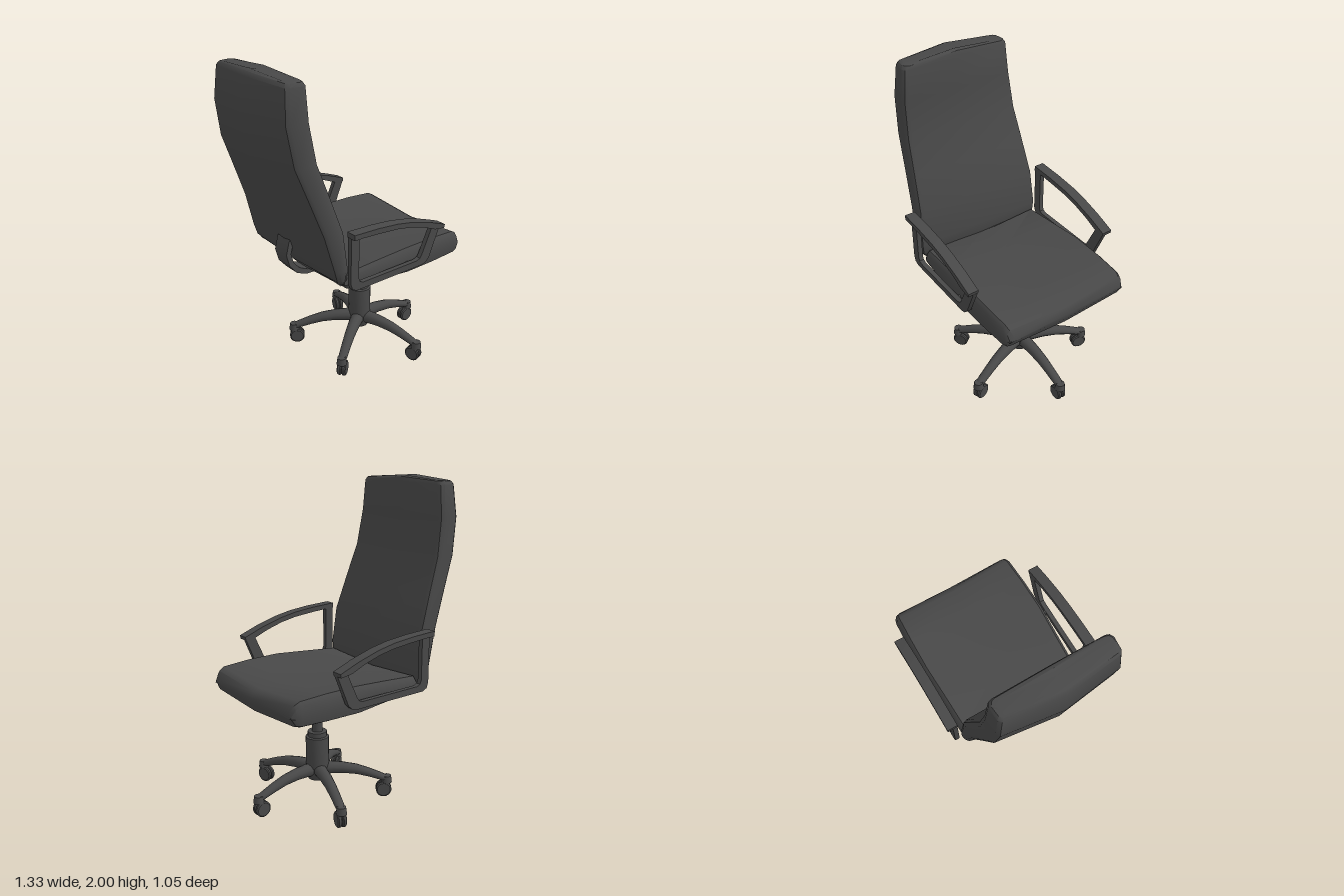
import * as THREE from 'three';
import { toCreasedNormals } from 'three/addons/utils/BufferGeometryUtils.js';

const material = new THREE.MeshStandardMaterial({ color: 0x484848, side: THREE.DoubleSide });

function add(parent, name, geometry, x = 0, y = 0, z = 0) {
  const mesh = new THREE.Mesh(geometry, material);
  mesh.name = name;
  mesh.position.set(x, y, z);
  parent.add(mesh);
  return mesh;
}

// Skin over a row of equal-length loops, closed at both ends
function loft(loops, crease = 0.7) {
  const n = loops[0].length;
  const points = loops.flat();
  const index = [];
  for (let i = 0; i < loops.length - 1; i++) {
    for (let j = 0; j < n; j++) {
      const a = i * n + j, b = i * n + (j + 1) % n;
      index.push(a, b, b + n, a, b + n, a + n);
    }
  }
  for (const end of [0, loops.length - 1]) {
    const centre = points.length;
    points.push([0, 1, 2].map(k => loops[end].reduce((s, p) => s + p[k], 0) / n));
    for (let j = 0; j < n; j++) {
      const a = end * n + j, b = end * n + (j + 1) % n;
      if (end) index.push(centre, a, b);
      else index.push(centre, b, a);
    }
  }
  const g = new THREE.BufferGeometry();
  g.setAttribute('position', new THREE.Float32BufferAttribute(points.flat(), 3));
  g.setIndex(index);
  return toCreasedNormals(g, crease);
}

// Flat outline in x-y, given a thickness centred on z = 0
function slab(points, depth) {
  const shape = new THREE.Shape(points.map(p => new THREE.Vector2(...p)));
  const g = new THREE.ExtrudeGeometry(shape, { depth, bevelEnabled: false });
  g.translate(0, 0, -depth / 2);
  return toCreasedNormals(g, 0.6);
}

// Dished cushion: x, top at the sides, top at the middle, bottom, half width
function seatGeometry() {
  const rows = [
    [-0.275, 0.80, 0.79, 0.72, 0.415], [-0.25, 0.825, 0.80, 0.70, 0.43],
    [0, 0.845, 0.815, 0.685, 0.44], [0.2, 0.86, 0.82, 0.67, 0.45],
    [0.42, 0.86, 0.82, 0.672, 0.447], [0.60, 0.85, 0.818, 0.677, 0.44],
    [0.635, 0.83, 0.80, 0.685, 0.433], [0.66, 0.78, 0.765, 0.735, 0.415],
  ];
  return loft(rows.map(([x, side, mid, low, w]) => {
    const half = [[side, w - 0.03], [side - 0.02, w - 0.012],
      [(side + low) / 2, w], [low + 0.035, w - 0.01], [low + 0.025, w - 0.03]];
    return [[x, mid, 0], ...half.map(([y, z]) => [x, y, z]),
      [x, low, 0], ...half.reverse().map(([y, z]) => [x, y, -z])];
  }));
}

// Tall padded back: y, front x, rear x on the centre line, half width, drop at the sides
function backGeometry() {
  const rows = [
    [0.765, -0.275, -0.31, 0.415, 0], [0.80, -0.265, -0.355, 0.44, 0],
    [0.87, -0.262, -0.385, 0.445, 0], [1.10, -0.285, -0.46, 0.43, 0],
    [1.32, -0.36, -0.545, 0.412, 0], [1.53, -0.435, -0.628, 0.395, 0],
    [1.76, -0.472, -0.665, 0.38, 0], [1.965, -0.475, -0.645, 0.36, 0.01],
    [1.99, -0.485, -0.628, 0.347, 0.015], [2.0, -0.505, -0.605, 0.325, 0.02],
  ];
  return loft(rows.map(([y, front, rear, w, drop]) => {
    const edge = rear + 0.25 * (front - rear);
    const s = y - drop;
    const half = [[edge, w - 0.022], [edge + 0.02, w - 0.006],
      [front - 0.03, w], [front - 0.008, w - 0.012], [front, w - 0.035]];
    return [...half.map(([x, z]) => [x, s, z]), [front, y, 0],
      ...half.reverse().map(([x, z]) => [x, s, -z]), [rear, y, 0]];
  }));
}

// Arched leg running out along +x
function legGeometry() {
  const rows = [
    [0, 0.243, 0.15, 0.045], [0.08, 0.242, 0.16, 0.042], [0.16, 0.235, 0.162, 0.038],
    [0.25, 0.218, 0.152, 0.034], [0.33, 0.19, 0.132, 0.031],
    [0.40, 0.16, 0.11, 0.029], [0.45, 0.135, 0.098, 0.027],
  ];
  return loft(rows.map(([x, top, low, w]) => Array.from({ length: 10 }, (_, i) => {
    const a = i / 10 * Math.PI * 2;
    return [x, (top + low) / 2 + Math.cos(a) * (top - low) / 2, Math.sin(a) * w];
  })), 1);
}

export function createModel() {
  const chair = new THREE.Group();
  chair.name = 'officeChair';
  const cx = 0.185;

  add(chair, 'seat', seatGeometry());
  add(chair, 'backrest', backGeometry());

  // Curved strap joining the back to the underside of the seat
  add(chair, 'backBracket', slab([
    [-0.39, 0.99], [-0.415, 0.94], [-0.435, 0.86], [-0.412, 0.78], [-0.36, 0.72],
    [-0.29, 0.692], [-0.2, 0.69], [-0.2, 0.72], [-0.285, 0.724], [-0.34, 0.75],
    [-0.382, 0.795], [-0.402, 0.86], [-0.385, 0.92], [-0.37, 0.96]], 0.12));

  // Armrests: wide curved pad on a narrow frame
  const pad = slab([
    [-0.295, 1.125], [-0.12, 1.118], [0.02, 1.105], [0.14, 1.083], [0.28, 1.043],
    [0.41, 0.995], [0.405, 0.972], [0.33, 0.983], [0.24, 1.02], [0.13, 1.053],
    [0.02, 1.073], [-0.12, 1.085], [-0.235, 1.092], [-0.295, 1.092]], 0.067);
  const frame = slab([
    [-0.29, 1.10], [-0.29, 0.80], [-0.278, 0.765], [-0.245, 0.75], [0.27, 0.75],
    [0.30, 0.76], [0.325, 0.785], [0.405, 0.978], [0.34, 0.99], [0.262, 0.82],
    [0.248, 0.80], [0.22, 0.79], [-0.20, 0.79], [-0.222, 0.80], [-0.232, 0.825],
    [-0.232, 1.10]], 0.03);
  for (const [side, s] of [['left', -1], ['right', 1]]) {
    add(chair, side + 'ArmPad', pad, 0, 0, s * 0.492);
    add(chair, side + 'ArmFrame', frame, 0, 0, s * 0.474);
    const bolt = add(chair, side + 'ArmMount',
      new THREE.CylinderGeometry(0.015, 0.015, 0.05, 12), 0.18, 0.77, s * 0.45);
    bolt.rotation.x = Math.PI / 2;
  }

  // Gas lift
  add(chair, 'seatSocket', new THREE.BoxGeometry(0.1, 0.12, 0.1), cx, 0.635, 0);
  const lift = [[0, 0.135], [0.06, 0.135], [0.068, 0.15], [0.073, 0.22], [0.073, 0.415],
    [0.06, 0.42], [0.06, 0.45], [0.034, 0.452], [0.034, 0.6], [0, 0.6]]
    .map(p => new THREE.Vector2(...p));
  add(chair, 'gasLift', toCreasedNormals(new THREE.LatheGeometry(lift, 20), 0.6), cx);

  // Five-star base with twin-wheel casters
  const leg = legGeometry();
  const cap = new THREE.CylinderGeometry(0.028, 0.034, 0.045, 12);
  const wheelProfile = [[0, -0.013], [0.042, -0.013], [0.05, -0.007], [0.05, 0.007],
    [0.042, 0.013], [0, 0.013]].map(p => new THREE.Vector2(...p));
  const wheel = toCreasedNormals(new THREE.LatheGeometry(wheelProfile, 18), 0.6);
  wheel.rotateX(Math.PI / 2);
  for (let i = 0; i < 5; i++) {
    const arm = new THREE.Group();
    arm.name = 'baseArm' + (i + 1);
    arm.position.x = cx;
    arm.rotation.y = i * Math.PI * 2 / 5;
    add(arm, 'leg', leg);
    add(arm, 'casterCap', cap, 0.442, 0.115, 0);
    add(arm, 'casterFork', new THREE.BoxGeometry(0.035, 0.06, 0.012), 0.435, 0.075, 0);
    for (const s of [-1, 1]) add(arm, 'wheel', wheel, 0.422, 0.05, s * 0.015);
    chair.add(arm);
  }
  return chair;
}
